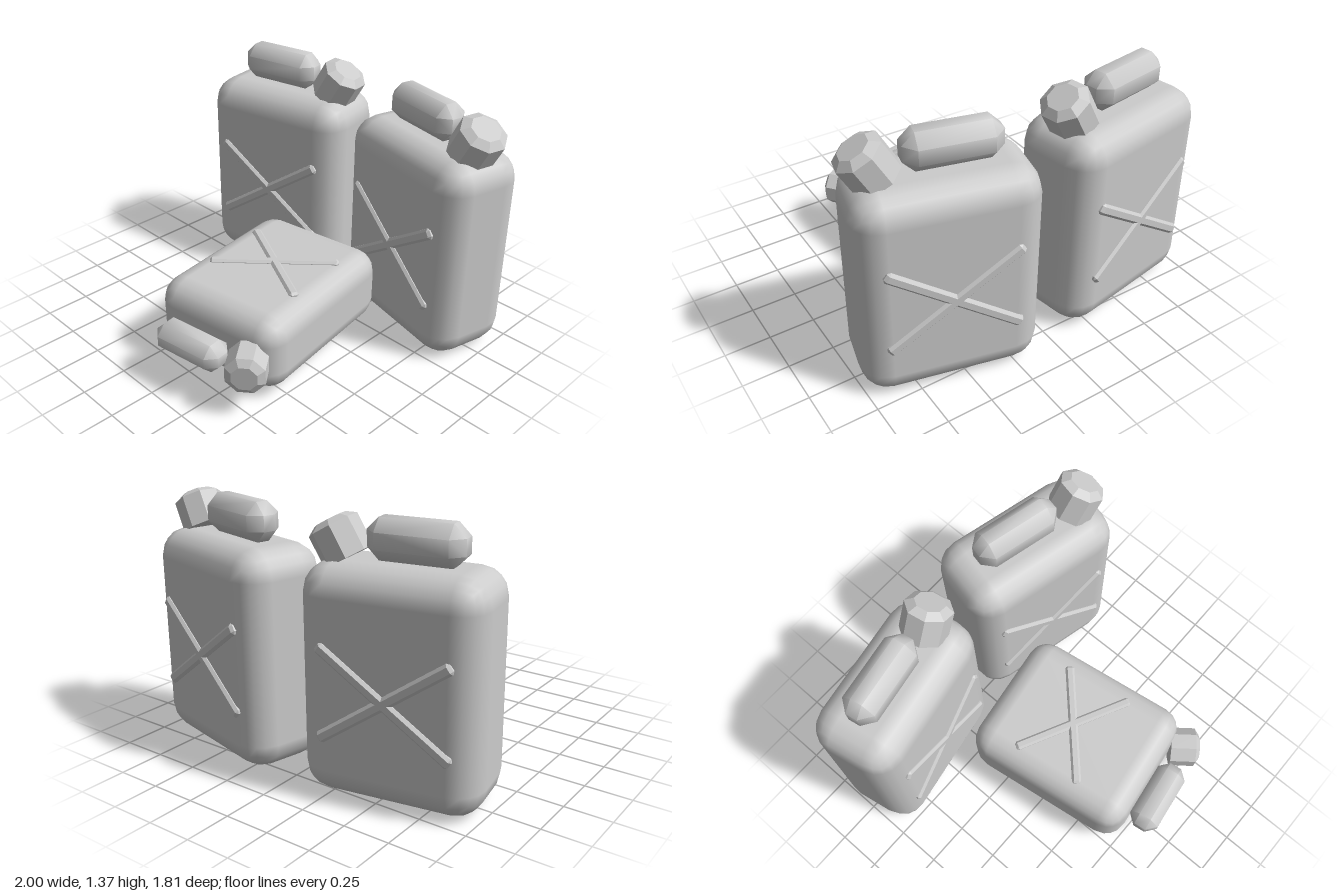
import * as THREE from 'three';
import { toCreasedNormals } from 'three/addons/utils/BufferGeometryUtils.js';
import { RoundedBoxGeometry } from 'three/addons/geometries/RoundedBoxGeometry.js';
import { ConvexGeometry } from 'three/addons/geometries/ConvexGeometry.js';

const WIDTH = 0.93, HEIGHT = 1.165, DEPTH = 0.5;
const material = new THREE.MeshStandardMaterial({ color: 0xcccccc });

function addMesh(parent, name, geometry, x = 0, y = 0, z = 0) {
  const mesh = new THREE.Mesh(geometry, material);
  mesh.name = name;
  mesh.position.set(x, y, z);
  parent.add(mesh);
  return mesh;
}

// Box with every edge cut by the same chamfer; hx, hy, hz are half sizes
function chamferedBox(hx, hy, hz, c) {
  const points = [];
  for (const sx of [-1, 1]) for (const sy of [-1, 1]) for (const sz of [-1, 1]) {
    points.push(
      new THREE.Vector3(sx * hx, sy * (hy - c), sz * (hz - c)),
      new THREE.Vector3(sx * (hx - c), sy * hy, sz * (hz - c)),
      new THREE.Vector3(sx * (hx - c), sy * (hy - c), sz * hz));
  }
  return new ConvexGeometry(points);
}

const bodyGeometry = new RoundedBoxGeometry(WIDTH, HEIGHT, DEPTH, 2, 0.15);
const handleGeometry = toCreasedNormals(chamferedBox(0.245, 0.103, 0.095, 0.062), 0.9);
const ribGeometry = chamferedBox(0.41, 0.03, 0.028, 0.014);

// Eight-sided screw cap with a bevelled top, its top centre at the origin
const capProfile = [[0, -0.2], [0.13, -0.2], [0.13, -0.03], [0.083, 0], [0, 0]]
  .map(([r, y]) => new THREE.Vector2(r, y));
const capGeometry = toCreasedNormals(
  new THREE.LatheGeometry(capProfile, 8, Math.PI / 8), 0.3);

// One fuel can, its origin at the middle of the body
function createCan(name) {
  const can = new THREE.Group();
  can.name = name;
  addMesh(can, 'body', bodyGeometry);
  addMesh(can, 'handle', handleGeometry, -0.065, 0.685, 0);
  addMesh(can, 'cap', capGeometry, 0.389, 0.747, 0).rotation.z = -Math.PI / 6;

  // Crossed ribs on the front and back
  for (const side of [-1, 1]) {
    for (const slope of [-1, 1]) {
      const rib = addMesh(can, side > 0 ? 'frontRib' : 'backRib', ribGeometry,
        0, -0.032, side * (DEPTH / 2 - 0.01));
      rib.rotation.z = slope * 0.608;
    }
  }
  return can;
}

export function createModel() {
  const model = new THREE.Group();
  model.name = 'fuelCans';
  const deg = THREE.MathUtils.degToRad;

  // Two standing cans, turned slightly apart
  const rightCan = createCan('rightCan');
  rightCan.position.set(-0.525, HEIGHT / 2 + 0.004, -0.55);
  rightCan.rotation.y = deg(10);

  const leftCan = createCan('leftCan');
  leftCan.position.set(0.523, HEIGHT / 2 + 0.004, -0.57);
  leftCan.rotation.y = deg(-13.5);

  // Smaller can lying on its front, with the cap end forward
  const lyingCan = createCan('lyingCan');
  lyingCan.rotation.set(deg(90), deg(8.3), 0, 'YXZ');
  lyingCan.scale.setScalar(0.865);
  lyingCan.position.set(0.072, 0.265, 0.2);

  model.add(rightCan, leftCan, lyingCan);
  return model;
}
